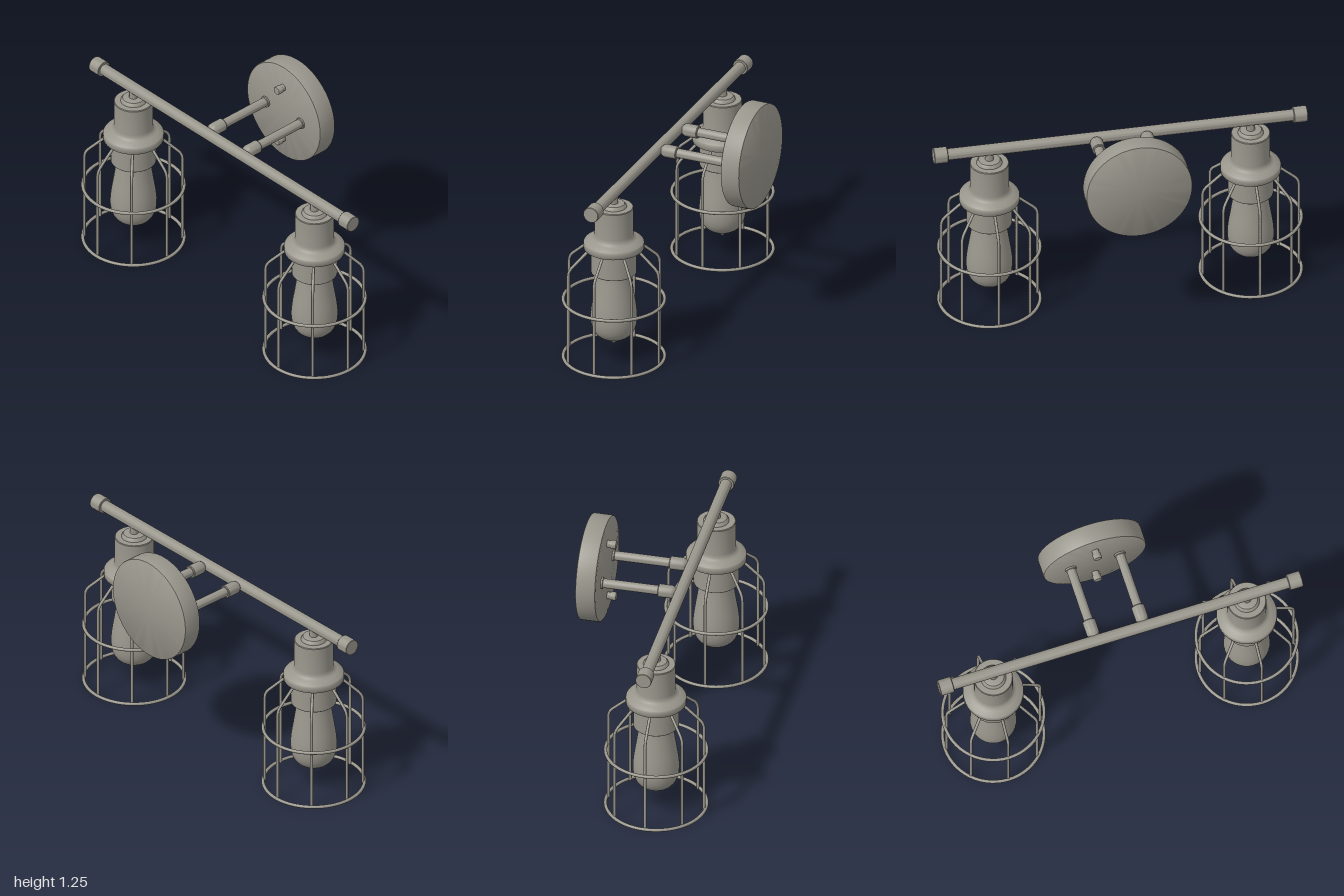
import * as THREE from 'three';
import { toCreasedNormals } from 'three/addons/utils/BufferGeometryUtils.js';

const BAR_Y = 0.965, BAR_Z = 0.131, LAMP_X = 0.7;
const metal = new THREE.MeshStandardMaterial({ color: 0x99968c });
metal.name = 'brushed nickel';

function add(parent, name, geometry, x = 0, y = 0, z = 0) {
  const mesh = new THREE.Mesh(geometry, metal);
  mesh.name = name;
  mesh.position.set(x, y, z);
  parent.add(mesh);
  return mesh;
}

// Turned part from [radius, height] pairs, listed bottom to top
function turned(profile, segments = 40, crease = 0.6) {
  const points = profile.map(([r, y]) => new THREE.Vector2(r, y));
  return toCreasedNormals(new THREE.LatheGeometry(points, segments), crease);
}

// Same, with the axis running along +z or +x
const turnedZ = (profile, segments) => turned(profile, segments).rotateX(Math.PI / 2);
const turnedX = (profile, segments) => turned(profile, segments).rotateZ(-Math.PI / 2);

function makeBackplate() {
  const group = new THREE.Group();
  group.name = 'wallMount';
  add(group, 'backplate', turnedZ([
    [0, -0.404], [0.277, -0.404], [0.282, -0.401], [0.284, -0.396],
    [0.284, -0.306], [0.281, -0.298], [0.274, -0.294], [0, -0.294],
  ], 64), 0, 0.968, 0);
  for (const y of [0.8, 1.125]) {
    add(group, 'screw', turnedZ([
      [0.019, -0.3], [0.019, -0.274], [0.023, -0.274], [0.023, -0.248], [0.021, -0.245], [0, -0.245],
    ], 24), 0, y, 0);
  }
  // Two arms with a flange at the plate and a sleeve at the bar
  for (const side of [-1, 1]) {
    add(group, 'arm', turnedZ([
      [0.031, -0.296], [0.031, -0.285], [0.025, -0.283], [0.025, 0.014],
      [0.032, 0.014], [0.035, 0.018], [0.035, 0.085], [0.031, 0.095], [0.015, 0.112], [0, 0.112],
    ], 28), side * 0.135, BAR_Y, 0);
  }
  return group;
}

function makeBar() {
  const group = new THREE.Group();
  group.name = 'crossbar';
  add(group, 'rod', turnedX([[0, -0.97], [0.031, -0.97], [0.031, 0.97], [0, 0.97]], 32), 0, BAR_Y, BAR_Z);
  for (const x of [-0.9635, 0.9635]) {
    add(group, 'endCap', turnedX([
      [0, -0.0365], [0.041, -0.0365], [0.043, -0.034], [0.043, 0.034], [0.041, 0.0365], [0, 0.0365],
    ], 32), x, BAR_Y, BAR_Z);
  }
  return group;
}

function makeCage() {
  const cage = new THREE.Group();
  cage.name = 'cage';
  for (const y of [0.01, 0.343]) {
    add(cage, 'hoop', new THREE.TorusGeometry(0.267, 0.009, 10, 56).rotateX(Math.PI / 2), 0, y, 0);
  }
  // One upright, bent inward at the shoulder, repeated round the axis
  const v = (r, y) => new THREE.Vector3(r, y, 0);
  const path = new THREE.CurvePath();
  path.add(new THREE.LineCurve3(v(0.258, 0.006), v(0.258, 0.515)));
  path.add(new THREE.QuadraticBezierCurve3(v(0.258, 0.515), v(0.258, 0.545), v(0.235, 0.566)));
  path.add(new THREE.LineCurve3(v(0.235, 0.566), v(0.165, 0.628)));
  path.add(new THREE.QuadraticBezierCurve3(v(0.165, 0.628), v(0.15, 0.64), v(0.135, 0.655)));
  const wire = new THREE.TubeGeometry(path, 40, 0.008, 8);
  const wireEnd = new THREE.CircleGeometry(0.008, 8).rotateX(Math.PI / 2);
  for (let i = 0; i < 8; i++) {
    const upright = new THREE.Group();
    upright.name = 'upright';
    upright.rotation.y = i * Math.PI / 4;
    add(upright, 'wire', wire);
    add(upright, 'wireEnd', wireEnd, 0.258, 0.006, 0);
    cage.add(upright);
  }
  return cage;
}

function makeLamp(x) {
  const lamp = new THREE.Group();
  lamp.name = 'lamp';
  lamp.position.set(x, 0, BAR_Z);
  add(lamp, 'stem', turned([[0.023, 0.88], [0.023, 0.945], [0, 0.945]], 24));
  // Socket cover with flared rim and stepped cap
  add(lamp, 'socketCover', turned([
    [0.118, 0.658], [0.145, 0.658], [0.145, 0.645], [0.158, 0.645], [0.16, 0.648], [0.16, 0.678],
    [0.156, 0.684], [0.125, 0.697], [0.112, 0.705], [0.105, 0.716], [0.103, 0.73],
    [0.103, 0.88], [0.1, 0.884], [0.068, 0.884], [0.064, 0.895], [0.057, 0.903], [0.045, 0.906], [0, 0.906],
  ], 48));
  add(lamp, 'socket', turned([[0, 0.502], [0.117, 0.502], [0.12, 0.505], [0.12, 0.67]], 48));
  // Teardrop bulb with a pointed tip
  const outline = new THREE.SplineCurve([
    [0.006, 0.086], [0.02, 0.1], [0.045, 0.115], [0.085, 0.138], [0.112, 0.175],
    [0.123, 0.23], [0.119, 0.3], [0.105, 0.39], [0.093, 0.47], [0.09, 0.51],
  ].map(([r, y]) => new THREE.Vector2(r, y)));
  const bulb = [[0, 0.084], ...outline.getPoints(30).map((p) => [p.x, p.y])];
  add(lamp, 'bulb', turned(bulb, 40, 1));
  lamp.add(makeCage());
  return lamp;
}

export function createModel() {
  const model = new THREE.Group();
  model.name = 'twoLampWallLight';
  model.add(makeBackplate(), makeBar(), makeLamp(-LAMP_X), makeLamp(LAMP_X));
  return model;
}
